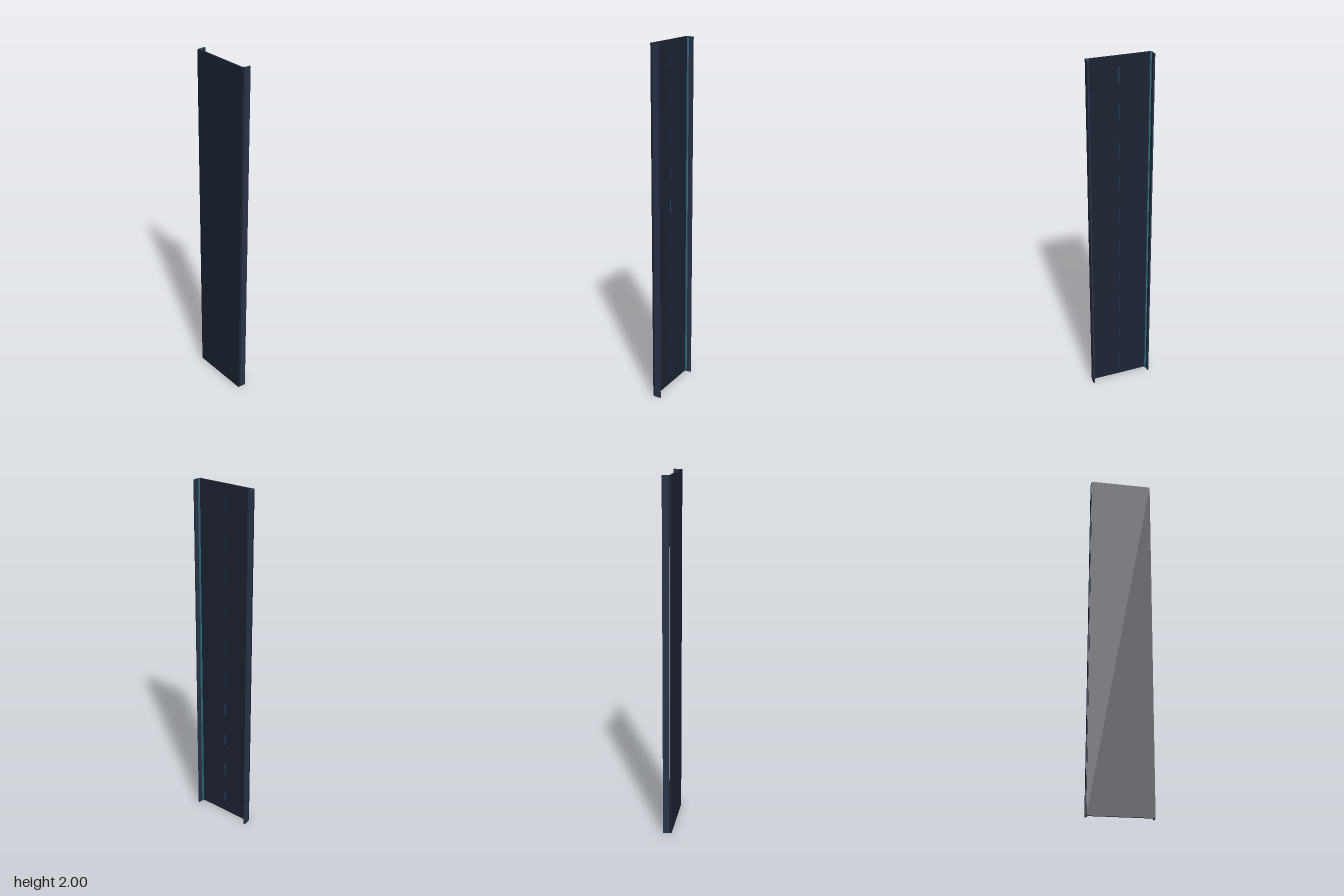
import * as THREE from 'three';

const LENGTH = 2;

export function createModel() {
  const model = new THREE.Group();
  model.name = 'roadSegment';

  const deckMat = new THREE.MeshStandardMaterial({ color: 0x1c2433 });
  const wallMat = new THREE.MeshStandardMaterial({ color: 0x2a3448 });
  const stripMat = new THREE.MeshStandardMaterial({ color: 0x2f6f80 });
  const dashMat = new THREE.MeshStandardMaterial({ color: 0x1f4a6a });

  // Box given by its x, y and z ranges
  function addBox(name, mat, [x0, x1], [y0, y1], [z0, z1]) {
    const mesh = new THREE.Mesh(new THREE.BoxGeometry(x1 - x0, y1 - y0, z1 - z0), mat);
    mesh.position.set((x0 + x1) / 2, (y0 + y1) / 2, (z0 + z1) / 2);
    mesh.name = name;
    model.add(mesh);
  }

  // Flat road deck
  addBox('deck', deckMat, [-0.175, 0.175], [0, LENGTH], [0.0128, 0.0235]);

  // Side walls, hovering just clear of the deck, with light strips inside
  for (const [side, s] of [['left', 1], ['right', -1]]) {
    const span = (a, b) => (s > 0 ? [a, b] : [-b, -a]);
    addBox(side + 'Wall', wallMat, span(0.171, 0.1785), [0, LENGTH], [-0.0245, 0.0105]);
    addBox(side + 'LightStrip', stripMat, span(0.1635, 0.171), [0, LENGTH], [0.001, 0.0085]);
  }

  // Dashed centre line
  for (let i = 0; i < 10; i++) {
    const y = 0.1 + i * 0.2;
    addBox('laneDash' + (i + 1), dashMat, [-0.002, 0.002], [y - 0.04, y + 0.04], [0.0118, 0.0135]);
  }

  return model;
}
